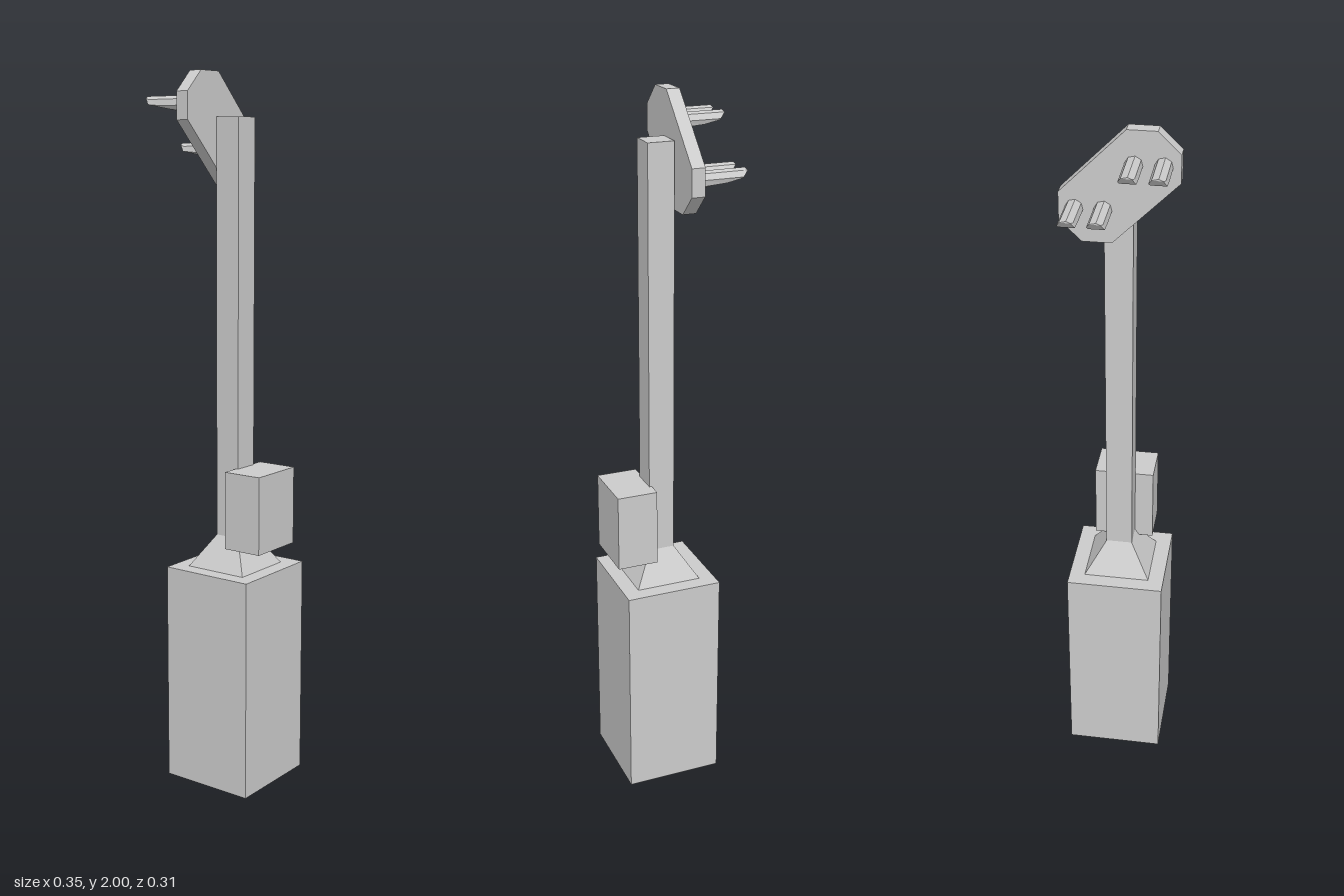
import * as THREE from 'three';

const material = new THREE.MeshStandardMaterial({
  color: 0xcccccc, flatShading: true, side: THREE.DoubleSide,
});

function addPart(group, name, geometry, x = 0, y = 0, z = 0) {
  const mesh = new THREE.Mesh(geometry, material);
  mesh.name = name;
  mesh.position.set(x, y, z);
  group.add(mesh);
  return mesh;
}

// Box given by its limits on each axis
function addBox(group, name, [x0, x1], [y0, y1], [z0, z1]) {
  return addPart(group, name, new THREE.BoxGeometry(x1 - x0, y1 - y0, z1 - z0),
    (x0 + x1) / 2, (y0 + y1) / 2, (z0 + z1) / 2);
}

// Octagonal prong along -x whose underside is cut away toward the tip
function prongGeometry() {
  const r = 0.023, sides = 8, turn = THREE.MathUtils.degToRad(9);
  // distance from the plate, height of the cut
  const stations = [[0, -r], [0.07, -0.009], [0.115, 0], [0.129, 0.018]];
  const positions = [], index = [];
  for (const [d, cut] of stations) {
    const chord = Math.sqrt(r * r - cut * cut);
    for (let i = 0; i < sides; i++) {
      const a = turn + (i / sides) * Math.PI * 2;
      let y = r * Math.cos(a), z = r * Math.sin(a);
      if (y < cut) {
        y = cut;
        z = THREE.MathUtils.clamp(z, -chord, chord);
      }
      positions.push(-d, y, z);
    }
  }
  for (let s = 0; s < stations.length - 1; s++) {
    for (let i = 0; i < sides; i++) {
      const a = s * sides + i, b = s * sides + (i + 1) % sides;
      index.push(a, a + sides, b, b, a + sides, b + sides);
    }
  }
  const tip = (stations.length - 1) * sides;
  for (let i = 1; i < sides - 1; i++) index.push(tip, tip + i + 1, tip + i);
  // Wind the faces outward
  for (let i = 0; i < index.length; i += 3) {
    [index[i + 1], index[i + 2]] = [index[i + 2], index[i + 1]];
  }
  const geometry = new THREE.BufferGeometry();
  geometry.setAttribute('position', new THREE.Float32BufferAttribute(positions, 3));
  geometry.setIndex(index);
  geometry.computeVertexNormals();
  return geometry;
}

export function createModel() {
  const model = new THREE.Group();
  model.name = 'postWithProngedHead';

  // Hollow base, open underneath
  const base = addBox(model, 'base', [-0.109, 0.168], [0, 0.63], [-0.145, 0.132]);
  const faces = Array.from(base.geometry.index.array);
  faces.splice(18, 6);
  base.geometry.setIndex(faces);
  base.geometry.clearGroups();

  // Tapered collar between base and post
  const collar = new THREE.CylinderGeometry(0.074 * Math.SQRT1_2, 0.188 * Math.SQRT1_2, 0.09, 4, 1, true);
  collar.rotateY(Math.PI / 4);
  addPart(model, 'collar', collar, 0.029, 0.675, -0.0065);

  addBox(model, 'post', [-0.008, 0.066], [0.72, 1.88], [-0.044, 0.031]);
  addBox(model, 'sideBox', [0.059, 0.175], [0.70, 0.92], [-0.086, 0.083]);

  // Slanted plate: half of the outline, repeated by a half turn
  const half = [[0.018, 0.15], [0.095, 0.15], [0.153, 0.094], [0.153, 0.02]];
  const outline = [...half, ...half.map(([z, y]) => [-z, -y])];
  const shape = new THREE.Shape(outline.map(([z, y]) => new THREE.Vector2(-z, y)));
  const plate = new THREE.ExtrudeGeometry(shape, { depth: 0.037, bevelEnabled: false });
  plate.rotateY(Math.PI / 2);
  addPart(model, 'headPlate', plate, -0.047, 1.85, 0);

  // Two rows of two prongs
  const prongs = new THREE.Group();
  prongs.name = 'prongs';
  const prong = prongGeometry();
  for (const [y, z] of [[1.912, 0.11], [1.912, 0.036], [1.79, -0.04], [1.79, -0.113]]) {
    addPart(prongs, 'prong', prong, -0.047, y, z);
  }
  model.add(prongs);
  return model;
}
